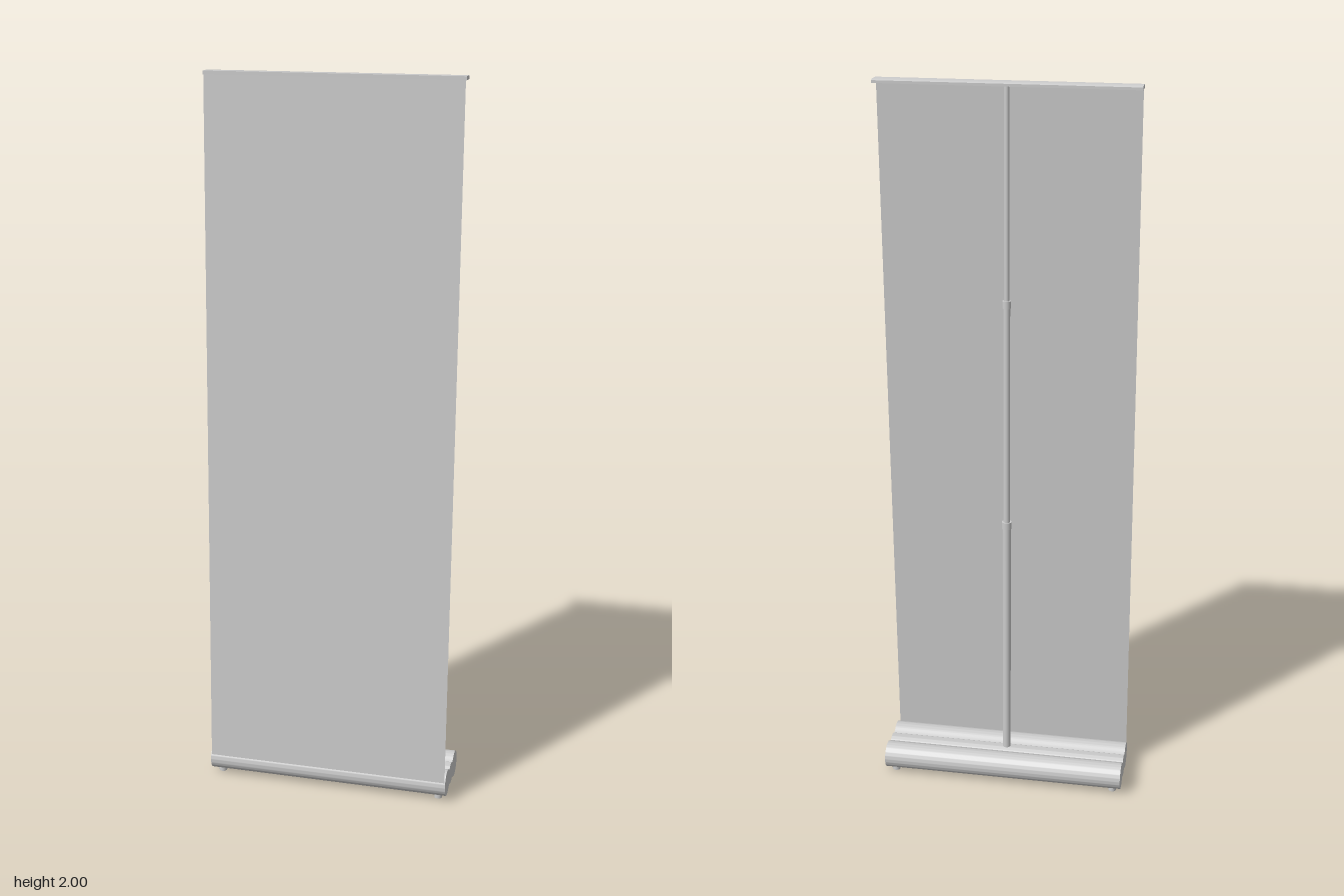
import * as THREE from 'three';
import { toCreasedNormals } from 'three/addons/utils/BufferGeometryUtils.js';

const WIDTH = 0.69;
const grey = new THREE.MeshStandardMaterial({ color: 0xcccccc });
const sheet = new THREE.MeshStandardMaterial({ color: 0xcccccc, side: THREE.DoubleSide });

export function createModel() {
  const model = new THREE.Group();
  model.name = 'rollUpBanner';

  const add = (name, geometry, x = 0, y = 0, z = 0, material = grey) => {
    const mesh = new THREE.Mesh(geometry, material);
    mesh.name = name;
    mesh.position.set(x, y, z);
    model.add(mesh);
    return mesh;
  };

  // Extrudes a (z, y) profile across the full width
  const acrossWidth = (shape) => {
    const g = new THREE.ExtrudeGeometry(shape, { depth: WIDTH, bevelEnabled: false, curveSegments: 32 });
    g.translate(0, 0, -WIDTH / 2).rotateY(-Math.PI / 2);
    return toCreasedNormals(g, 0.5);
  };

  // Base housing: two round lobes with a narrow rib between them
  const cy = 0.048, r = 0.037, open = 2.3;
  const base = new THREE.Shape();
  base.absarc(0.055, cy, r, -open, open, false);
  base.lineTo(0.019, 0.071);
  base.quadraticCurveTo(-0.002, 0.086, -0.023, 0.071);
  base.absarc(-0.059, cy, r, Math.PI - open, Math.PI + open, false);
  base.lineTo(-0.023, 0.025);
  base.quadraticCurveTo(-0.002, 0.01, 0.019, 0.025);
  base.closePath();
  add('baseHousing', acrossWidth(base));

  // Feet under the four corners
  for (const x of [-0.32, 0.32]) {
    for (const z of [-0.059, 0.055]) {
      add('foot', new THREE.CylinderGeometry(0.011, 0.011, 0.024, 20), x, 0.012, z);
    }
  }

  // Telescopic pole: three sections, each thinner than the one below
  const levels = [0.06, 0.785, 1.42, 1.99];
  const radii = [0.0115, 0.0092, 0.0072];
  radii.forEach((radius, i) => {
    const height = levels[i + 1] - levels[i];
    add('poleSection', new THREE.CylinderGeometry(radius, radius, height, 24), 0, levels[i] + height / 2, -0.001);
    if (i < 2) {
      add('poleCollar', new THREE.CylinderGeometry(radius + 0.002, radius + 0.002, 0.02, 24), 0, levels[i + 1], -0.001);
    }
  });

  // Top rail with a chamfered back edge
  const rail = new THREE.Shape();
  rail.moveTo(0.018, 1.99);
  rail.lineTo(0.018, 2);
  rail.lineTo(-0.016, 2);
  rail.lineTo(-0.023, 1.997);
  rail.lineTo(-0.023, 1.99);
  rail.closePath();
  add('topRail', acrossWidth(rail));

  // Banner sheet leaning from the front of the base up to the rail
  const top = new THREE.Vector2(0.0175, 1.995), bottom = new THREE.Vector2(0.0885, 0.062);
  const banner = add('bannerSheet', new THREE.PlaneGeometry(WIDTH - 0.004, top.distanceTo(bottom)),
    0, (top.y + bottom.y) / 2, (top.x + bottom.x) / 2, sheet);
  banner.rotation.x = Math.atan2(top.x - bottom.x, top.y - bottom.y);

  // The whole stand is turned slightly about the vertical
  model.rotation.y = 0.033;
  const root = new THREE.Group();
  root.name = 'bannerStand';
  root.add(model);
  return root;
}
